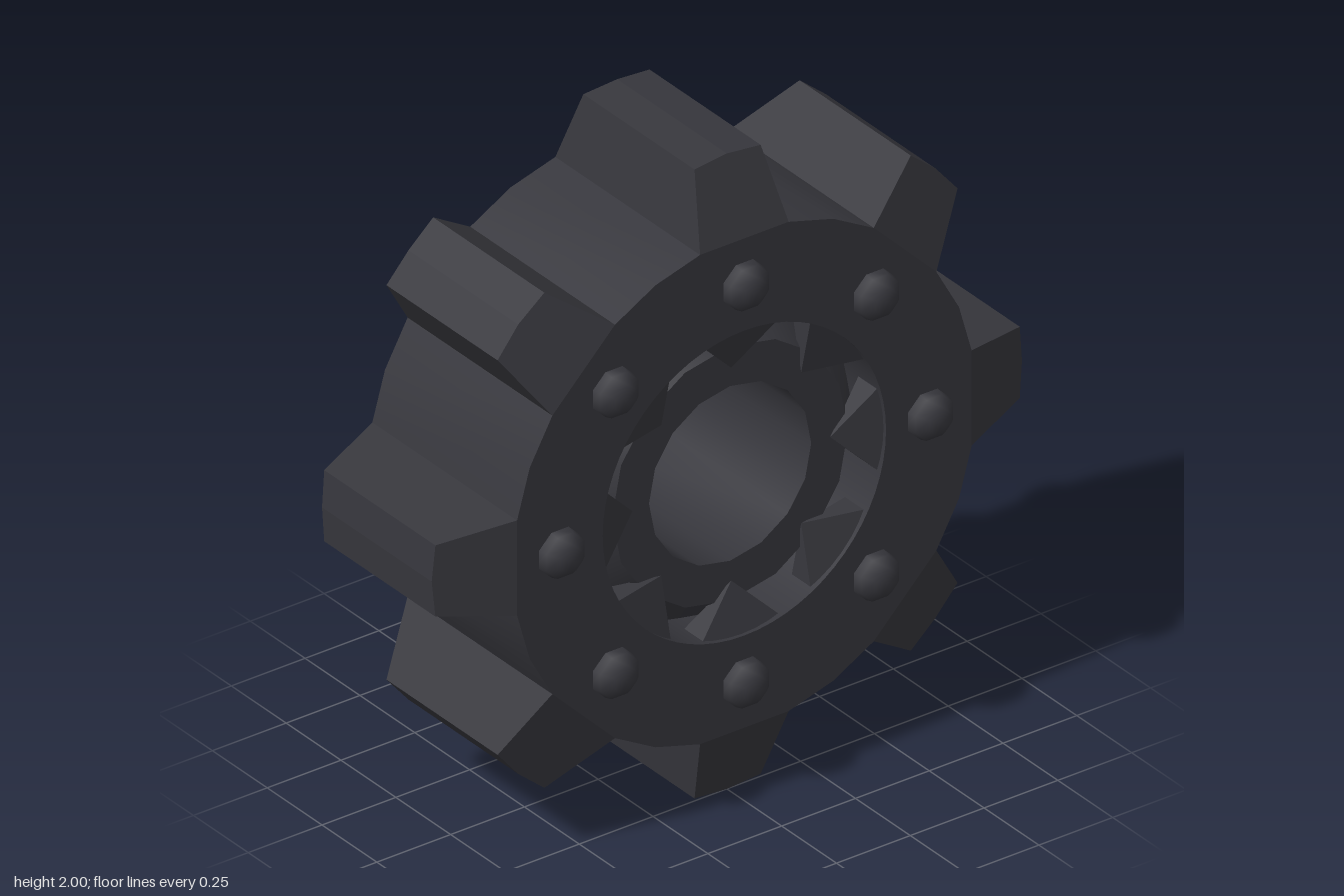
import * as THREE from 'three';
import { toCreasedNormals } from 'three/addons/utils/BufferGeometryUtils.js';

const TEETH = 8;
const STEP = (Math.PI * 2) / TEETH;
const HALF = 0.33; // half thickness of the wheel
const ROOT = { x: 0.15, y: 0.77 }; // where a tooth meets the ring

export function createModel() {
  const iron = new THREE.MeshStandardMaterial({ color: 0x37373d });
  iron.name = 'darkIron';

  const model = new THREE.Group();
  model.name = 'cogWheel';
  const wheel = new THREE.Group();
  wheel.name = 'wheel';
  wheel.position.y = 1;
  model.add(wheel);

  const add = (name, geometry, angle = 0) => {
    const mesh = new THREE.Mesh(geometry, iron);
    mesh.name = name;
    mesh.rotation.z = angle;
    wheel.add(mesh);
    return mesh;
  };
  const extrude = (shape) =>
    new THREE.ExtrudeGeometry(shape, { depth: HALF * 2, bevelEnabled: false, curveSegments: 32 })
      .translate(0, 0, -HALF);

  // Ring: faceted rim with a round opening
  const rim = [];
  const origin = new THREE.Vector2();
  for (let i = 0; i < TEETH; i++) {
    const valley = Math.PI / 2 + STEP / 2;
    const points = [
      new THREE.Vector2(ROOT.x, ROOT.y),
      new THREE.Vector2(-ROOT.x, ROOT.y),
      new THREE.Vector2(0.787 * Math.cos(valley), 0.787 * Math.sin(valley)),
    ];
    rim.push(...points.map((p) => p.rotateAround(origin, i * STEP)));
  }
  const ringShape = new THREE.Shape(rim);
  ringShape.holes.push(new THREE.Path().absarc(0, 0, 0.48, 0, Math.PI * 2, true));
  add('ring', toCreasedNormals(extrude(ringShape), 0.25));

  // Tooth: narrows towards its tip, both across and through the thickness
  const tooth = extrude(new THREE.Shape([
    new THREE.Vector2(-ROOT.x, ROOT.y),
    new THREE.Vector2(ROOT.x, ROOT.y),
    new THREE.Vector2(0.112, 0.99),
    new THREE.Vector2(0, 1),
    new THREE.Vector2(-0.112, 0.99),
  ]));
  const pos = tooth.attributes.position;
  for (let i = 0; i < pos.count; i++) {
    const z = HALF - (0.08 * (pos.getY(i) - ROOT.y)) / 0.23;
    pos.setZ(i, Math.sign(pos.getZ(i)) * z);
  }
  tooth.computeVertexNormals();

  // Hub: recessed bush with chamfered outer edges
  const hubProfile = [
    [0.5, -0.15], [0.5, 0.15], [0.4, 0.265], [0.275, 0.265],
    [0.275, -0.265], [0.4, -0.265], [0.5, -0.15],
  ].map(([r, y]) => new THREE.Vector2(r, y));
  const hub = new THREE.LatheGeometry(hubProfile, 16).rotateX(Math.PI / 2);
  add('hub', toCreasedNormals(hub, 0.5));

  // Spike: flattened four-sided pyramid pointing inwards
  const spike = new THREE.ConeGeometry(0.165 * Math.SQRT2, 0.165, 4)
    .rotateY(Math.PI / 4)
    .rotateX(Math.PI)
    .scale(1, 1, 0.055 / 0.165)
    .translate(0, 0.4175, 0.27)
    .toNonIndexed();
  spike.computeVertexNormals();
  const backSpike = spike.clone().rotateY(Math.PI);

  // Rivet: low-sided dome
  const rivet = new THREE.SphereGeometry(0.08, 8, 6)
    .rotateX(Math.PI / 2)
    .rotateZ(Math.PI / 8)
    .translate(0, 0.625, 0.315);
  const backRivet = rivet.clone().rotateY(Math.PI);

  for (let i = 0; i < TEETH; i++) {
    const angle = i * STEP;
    add('tooth', tooth, angle);
    add('frontSpike', spike, angle);
    add('backSpike', backSpike, angle);
    add('frontRivet', rivet, angle);
    // The lowest rivet is missing at the back
    if (i !== TEETH / 2) add('backRivet', backRivet, angle);
  }
  return model;
}
